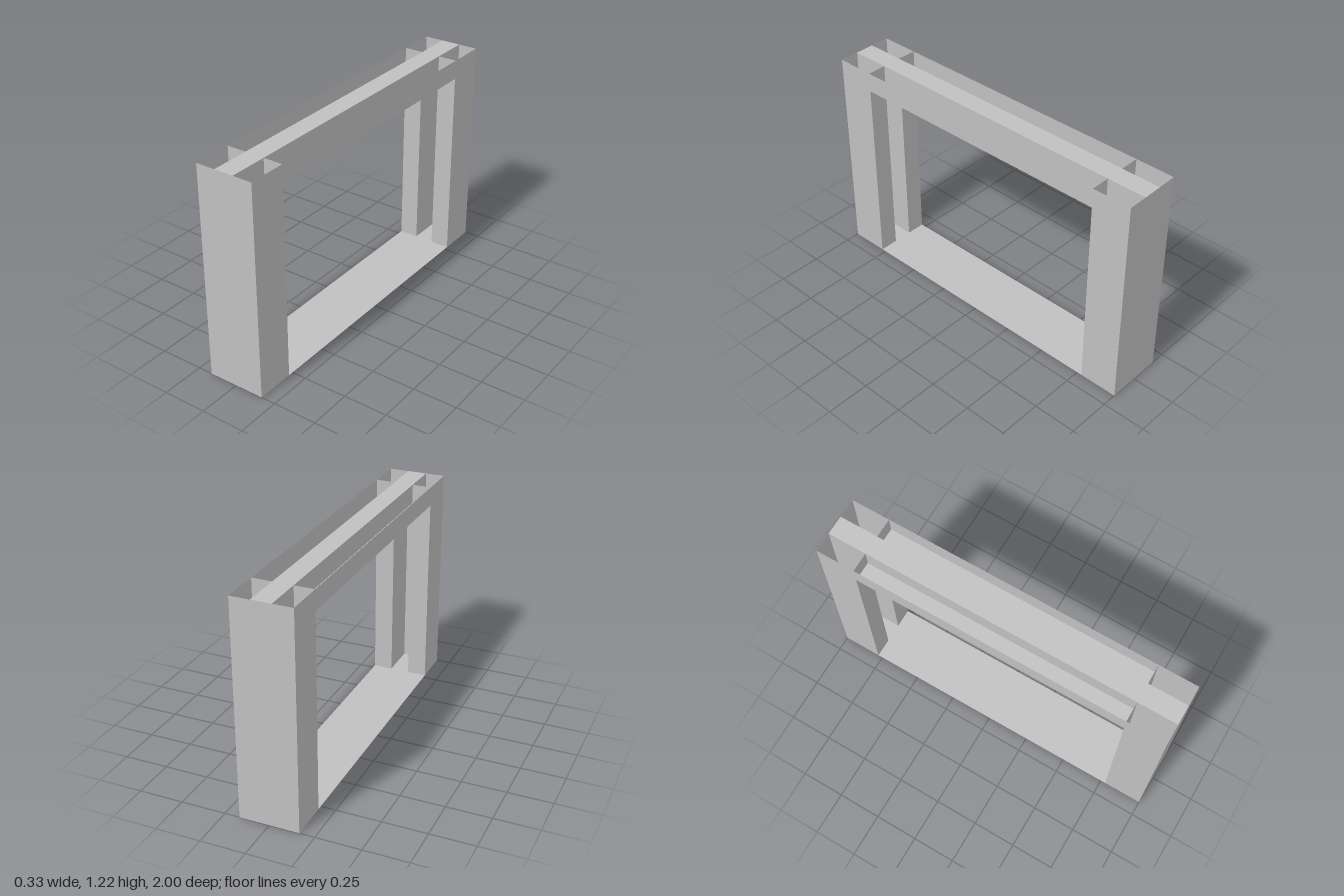
import * as THREE from 'three';

// Main dimensions
const H = 11 / 9;        // overall height
const X = 1 / 6;         // half width
const XI = X / 3;        // half width of the centre groove
const ZI = 7 / 9;        // inner face of the legs
const YB = 10 / 9;       // underside of the beam

export function createModel() {
  const group = new THREE.Group();
  const grey = new THREE.MeshStandardMaterial({ color: 0xc0c0c0, side: THREE.DoubleSide });
  grey.name = 'lightGrey';

  const add = (name, geometry, x, y, z) => {
    const mesh = new THREE.Mesh(geometry, grey);
    mesh.name = name;
    mesh.position.set(x, y, z);
    group.add(mesh);
  };
  const horizontal = (w, d) => new THREE.PlaneGeometry(w, d).rotateX(-Math.PI / 2);

  // Portal-shaped side sheets: two outer, two lining the centre groove
  const portal = new THREE.Shape([
    [-1, 0], [-ZI, 0], [-ZI, YB], [ZI, YB], [ZI, 0], [1, 0], [1, H], [-1, H],
  ].map(([z, y]) => new THREE.Vector2(z, y)));
  for (const s of [-1, 1]) {
    for (const [name, x] of [['outerSide', X], ['grooveSide', XI]]) {
      add(name, new THREE.ShapeGeometry(portal).rotateY(s * Math.PI / 2), s * x, 0, 0);
    }
  }

  // Full-width end walls
  for (const s of [-1, 1]) {
    const end = new THREE.PlaneGeometry(2 * X, H);
    if (s < 0) end.rotateY(Math.PI);
    add('endWall', end, 0, H / 2, s);
  }

  // Floor sheet and the strip closing the groove at the top
  add('floor', horizontal(2 * X, 2), 0, 0, 0);
  add('topStrip', horizontal(2 * XI, 2), 0, H, 0);

  // Hollow legs and open-topped beam channels on each side of the groove
  const w = X - XI, xc = (X + XI) / 2;
  for (const sx of [-1, 1]) {
    add('beamUnderside', horizontal(w, 2 * ZI), sx * xc, YB, 0);
    for (const sz of [-1, 1]) {
      const wall = new THREE.PlaneGeometry(w, H);
      if (sz > 0) wall.rotateY(Math.PI);
      add('legInnerWall', wall, sx * xc, H / 2, sz * ZI);
    }
  }
  return group;
}
